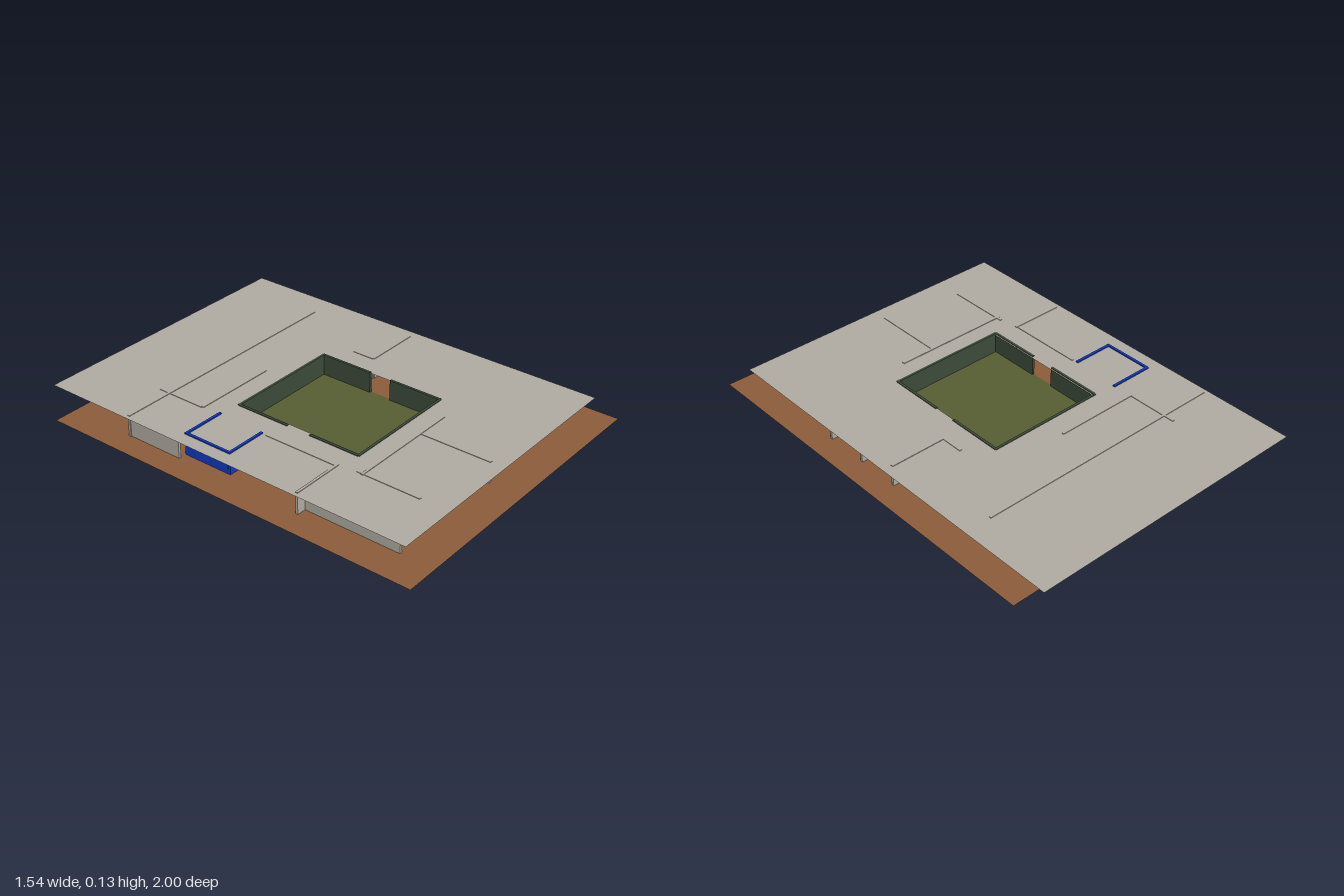
import * as THREE from 'three';

const mat = (name, color, side = THREE.FrontSide) => {
  const m = new THREE.MeshStandardMaterial({ color, side });
  m.name = name;
  return m;
};

export function createModel() {
  const group = new THREE.Group();
  const stone = mat('warm grey', 0xb0aba2);
  const slab = mat('roof grey', 0xafaaa1, THREE.DoubleSide);
  const earth = mat('earth brown', 0x8b5c3a, THREE.DoubleSide);
  const grass = mat('olive green', 0x565e32);
  const hedge = mat('dark green', 0x3c4a38);
  const blue = mat('blue', 0x1238c4);

  const box = (name, x0, x1, y0, y1, z0, z1, material) => {
    const mesh = new THREE.Mesh(new THREE.BoxGeometry(x1 - x0, y1 - y0, z1 - z0), material);
    mesh.position.set((x0 + x1) / 2, (y0 + y1) / 2, (z0 + z1) / 2);
    mesh.name = name;
    group.add(mesh);
  };

  // Flat horizontal sheet with an optional rectangular opening
  const rect = (path, [x0, x1, z0, z1]) =>
    path.moveTo(x0, -z0).lineTo(x0, -z1).lineTo(x1, -z1).lineTo(x1, -z0).closePath();
  const sheet = (name, y, outer, hole, material) => {
    const shape = new THREE.Shape();
    rect(shape, outer);
    if (hole) {
      const p = new THREE.Path();
      rect(p, hole);
      shape.holes.push(p);
    }
    const mesh = new THREE.Mesh(new THREE.ShapeGeometry(shape).rotateX(-Math.PI / 2), material);
    mesh.position.y = y;
    mesh.name = name;
    group.add(mesh);
  };

  sheet('ground', 0.02, [-0.77, 0.77, -0.9, 1.0], null, earth);
  sheet('roof', 0.12, [-0.68, 0.71, -1.0, 0.91], [-0.285, 0.275, -0.245, 0.39], slab);

  // Walls: along x as [z, x0, x1], along z as [x, z0, z1]
  const T = 0.006;
  const wallsX = (name, list, y0, y1, material) => list.forEach(([z, a, b]) =>
    box(name, a, b, y0, y1, z - T, z + T, material));
  const wallsZ = (name, list, y0, y1, material) => list.forEach(([x, a, b]) =>
    box(name, x - T, x + T, y0, y1, a, b, material));

  // Taller walls whose tops rise just above the roof
  wallsX('tallWall', [
    [-0.555, -0.66, 0.58], [-0.36, -0.41, 0], [0.37, -0.66, -0.4],
    [0.49, -0.4, 0.17], [-0.05, 0.39, 0.665],
  ], 0.018, 0.123, stone);
  wallsZ('tallWall', [
    [-0.41, -0.61, -0.36], [-0.41, 0, 0.37], [-0.39, 0.46, 0.77],
    [0, 0.49, 0.84], [0.39, -0.16, -0.05],
  ], 0.018, 0.1225, stone);

  // Walls that stop under the roof
  wallsX('wall', [
    [0.73, -0.61, 0.62], [0.37, 0.39, 0.665], [0.16, 0.39, 0.665],
  ], 0.018, 0.1195, stone);
  wallsZ('wall', [
    [-0.65, -0.56, -0.27], [-0.61, 0.37, 0.84], [0.61, 0.37, 0.73],
    [0.39, 0.1, 0.37], [0, -0.61, -0.36],
  ], 0.018, 0.1195, stone);
  wallsZ('deepWall', [[0.38, -0.63, -0.34]], 0.012, 0.1195, stone);

  // Blue room
  wallsX('blueRoomWall', [[-0.265, -0.615, -0.4], [-0.025, -0.615, -0.41]], 0.018, 0.126, blue);
  wallsZ('blueRoomWall', [[-0.61, -0.265, -0.03]], 0.018, 0.126, blue);
  wallsZ('blueRoomInnerWall', [[-0.41, -0.18, -0.03]], 0.018, 0.1195, blue);

  // Sunken courtyard with doorways in the two long sides
  box('courtyardLawn', -0.3, 0.28, 0, 0.023, -0.25, 0.395, grass);
  wallsX('courtyardWall', [[-0.25, -0.3, 0.28], [0.395, -0.3, 0.28]], 0.006, 0.123, hedge);
  wallsZ('courtyardWall', [
    [-0.298, -0.25, 0.02], [-0.298, 0.14, 0.395], [0.277, -0.25, 0.02], [0.277, 0.13, 0.395],
  ], 0.006, 0.1235, hedge);

  // Small dark plates set into the floor by the back wall
  for (const x of [-0.25, 0.25])
    box('floorPlate', x - 0.035, x + 0.035, 0.017, 0.022, -0.56, -0.52, hedge);

  return group;
}
